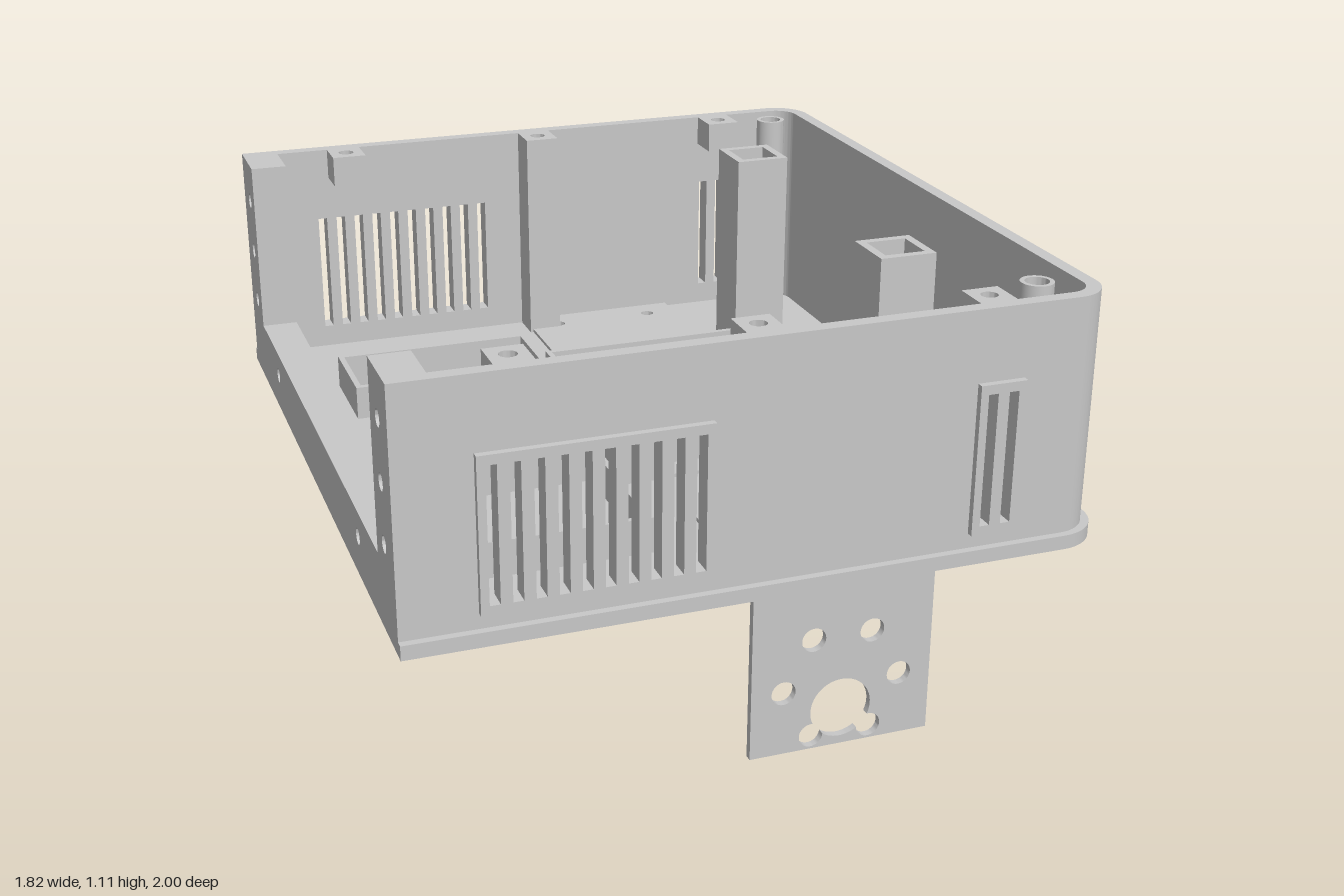
import * as THREE from 'three';
import { toCreasedNormals } from 'three/addons/utils/BufferGeometryUtils.js';

const FLOOR = 0.48, TOP = 1.107;

export function createModel() {
  const model = new THREE.Group();
  model.name = 'enclosureBase';
  const grey = new THREE.MeshStandardMaterial({ color: 0xc8c8c8 });
  grey.name = 'light grey plastic';

  // --- helpers -------------------------------------------------------
  const add = (name, geometry) => {
    const mesh = new THREE.Mesh(geometry, grey);
    mesh.name = name;
    model.add(mesh);
    return mesh;
  };
  const trace = (path, points) => {
    points.forEach(([x, y], i) => (i ? path.lineTo(x, y) : path.moveTo(x, y)));
    path.closePath();
    return path;
  };
  const corners = (x0, y0, x1, y1) => [[x0, y0], [x1, y0], [x1, y1], [x0, y1]];
  const rect = (...b) => trace(new THREE.Shape(), corners(...b));
  const rectHole = (shape, ...b) => shape.holes.push(trace(new THREE.Path(), corners(...b)));
  const roundHole = (shape, x, y, r) =>
    shape.holes.push(new THREE.Path().absarc(x, y, r, 0, Math.PI * 2, true));
  const extrude = (shape, depth) => toCreasedNormals(
    new THREE.ExtrudeGeometry(shape, { depth, bevelEnabled: false, curveSegments: 16 }), 0.6);
  // plan shapes use (x, -z)
  const rise = (shape, y0, y1) =>
    extrude(shape, y1 - y0).rotateX(-Math.PI / 2).translate(0, y0, 0);
  const upright = (shape, z0, z1) => extrude(shape, z1 - z0).translate(0, 0, z0);
  const tube = (x0, z0, x1, z1, wall) => {
    const s = rect(x0, -z1, x1, -z0);
    rectHole(s, x0 + wall, wall - z1, x1 - wall, -z0 - wall);
    return s;
  };
  const mountHoles = (shape, side) => {
    for (const x of [0.04, 0.34]) for (const z of [0.62, 0.865]) roundHole(shape, x, -side * z, 0.019);
  };

  // --- floor with flange, rounded at one end -------------------------
  const R = 0.12, floor = new THREE.Shape();
  floor.moveTo(-0.91, -1);
  floor.lineTo(0.91 - R, -1);
  floor.absarc(0.91 - R, R - 1, R, -Math.PI / 2, 0, false);
  floor.lineTo(0.91, 1 - R);
  floor.absarc(0.91 - R, 1 - R, R, 0, Math.PI / 2, false);
  floor.lineTo(-0.91, 1);
  floor.closePath();
  mountHoles(floor, 1);
  mountHoles(floor, -1);
  add('floor', rise(floor, 0.442, FLOOR));

  // --- rounded closed end --------------------------------------------
  const end = new THREE.Shape();
  end.moveTo(0.788, -0.98);
  end.absarc(0.788, -0.88, 0.1, -Math.PI / 2, 0, false);
  end.lineTo(0.888, 0.88);
  end.absarc(0.788, 0.88, 0.1, 0, Math.PI / 2, false);
  end.lineTo(0.788, 0.942);
  end.absarc(0.788, 0.88, 0.062, Math.PI / 2, 0, true);
  end.lineTo(0.85, -0.88);
  end.absarc(0.788, -0.88, 0.062, 0, -Math.PI / 2, true);
  end.closePath();
  add('roundedEndWall', rise(end, FLOOR, TOP));

  // --- open end: low sill between two drilled pillars ----------------
  const sill = 0.62;
  const openEnd = trace(new THREE.Shape(), [[-0.98, FLOOR], [0.98, FLOOR], [0.98, TOP], [0.8, TOP],
    [0.8, sill], [-0.8, sill], [-0.8, TOP], [-0.98, TOP]]);
  for (const s of [-1, 1]) {
    roundHole(openEnd, s * 0.56, 0.55, 0.022);
    for (const y of [0.68, 0.835, 0.99]) roundHole(openEnd, s * 0.88, y, 0.022);
  }
  add('openEndFrame', extrude(openEnd, 0.1).rotateY(Math.PI / 2).translate(-0.91, 0, 0));

  // --- vent slots ----------------------------------------------------
  const wideSlots = Array.from({ length: 10 }, (_, i) => -0.686 + i * 0.0555);
  const smallSlots = [0.559, 0.615];
  const cutSlots = (shape, xs) =>
    xs.forEach((x) => rectHole(shape, x - 0.013, 0.544, x + 0.013, 0.893));

  // --- motor bracket outline with a keyed centre opening -------------
  const bracket = rect(-0.052, 0, 0.43, 0.443);
  for (const [x, y] of [[0.111, 0.307], [0.267, 0.307], [0.034, 0.172], [0.345, 0.172]])
    roundHole(bracket, x, y, 0.032);
  const big = 0.081, small = 0.032, dx = 0.078, dy = 0.065, d = Math.hypot(dx, dy);
  const a = Math.acos((big * big + d * d - small * small) / (2 * big * d));
  const b = Math.acos((small * small + d * d - big * big) / (2 * small * d));
  const right = -Math.atan2(dy, dx), left = Math.PI - right, PI = Math.PI;
  const opening = new THREE.Path();
  opening.absarc(0.189, 0.103, big, right + a, left - a, false);
  opening.absarc(0.189 - dx, 0.103 - dy, small, left + PI + b, left + 3 * PI - b, false);
  opening.absarc(0.189, 0.103, big, left + a, right + 2 * PI - a, false);
  opening.absarc(0.189 + dx, 0.103 - dy, small, right + PI + b, right + 3 * PI - b, false);
  bracket.holes.push(opening);

  // --- everything repeated on the front and back sides ---------------
  for (const s of [1, -1]) {
    const side = s > 0 ? 'front' : 'back';
    const place = (shape, z0, z1) => (s > 0 ? upright(shape, z0, z1) : upright(shape, -z1, -z0));

    const wall = rect(-0.81, FLOOR, 0.788, TOP);
    cutSlots(wall, wideSlots);
    cutSlots(wall, smallSlots);
    add(side + 'Wall', place(wall, 0.942, 0.98));

    const wide = rect(-0.72, 0.52, -0.152, 0.918);
    cutSlots(wide, wideSlots);
    add(side + 'WideVentFrame', place(wide, 0.98, 0.998));
    const narrow = rect(0.525, 0.52, 0.65, 0.918);
    cutSlots(narrow, smallSlots);
    add(side + 'NarrowVentFrame', place(narrow, 0.98, 0.998));

    add(side + 'Bracket', place(bracket, 0.98, 1));
    const foot = s > 0 ? rect(-0.052, -0.942, 0.43, -0.52) : rect(-0.052, 0.52, 0.43, 0.942);
    mountHoles(foot, s);
    add(side + 'BracketFoot', rise(foot, FLOOR, FLOOR + 0.01));

    // screw blocks along the rim; the middle one is a full column
    for (const x of [-0.612, -0.012, 0.588]) {
      const block = rect(x - 0.049, -s * 0.892 - 0.05, x + 0.049, -s * 0.892 + 0.05);
      roundHole(block, x, -s * 0.892, 0.022);
      const column = x === -0.012;
      add(side + (column ? 'ScrewColumn' : 'ScrewBlock'), rise(block, column ? FLOOR : 1.02, TOP));
    }

    // round corner post
    const post = new THREE.Shape().absarc(0.748, -s * 0.84, 0.043, 0, PI * 2, false);
    roundHole(post, 0.748, -s * 0.84, 0.031);
    add(side + 'CornerPost', rise(post, FLOOR, TOP));

    // hollow square tower
    const z = s * 0.481;
    add(side + 'Tower', rise(tube(0.462, z - 0.079, 0.618, z + 0.079, 0.023), FLOOR, TOP));
  }

  // --- component trays on the floor ----------------------------------
  add('backTray', rise(tube(-0.728, -0.592, -0.155, -0.325, 0.016), FLOOR, 0.575));
  add('frontTray', rise(tube(-0.698, 0.277, -0.213, 0.747, 0.016), FLOOR, 0.575));
  const t = 0.016, trayTop = 0.605;
  const centre = trace(new THREE.Shape(), [[-0.158, -0.332], [-0.158 + t, -0.332], [-0.158 + t, 0.355 - t],
    [0.452 - t, 0.355 - t], [0.452 - t, -0.332], [0.452, -0.332], [0.452, 0.355], [-0.158, 0.355]]);
  add('centreTray', rise(centre, FLOOR, trayTop));
  const slotted = rect(-0.158, FLOOR, 0.452, trayTop);
  for (const x of [0.03, 0.26]) rectHole(slotted, x - 0.06, 0.49, x + 0.06, 0.525);
  add('centreTraySlottedWall', upright(slotted, 0.332, 0.348));

  return model;
}
